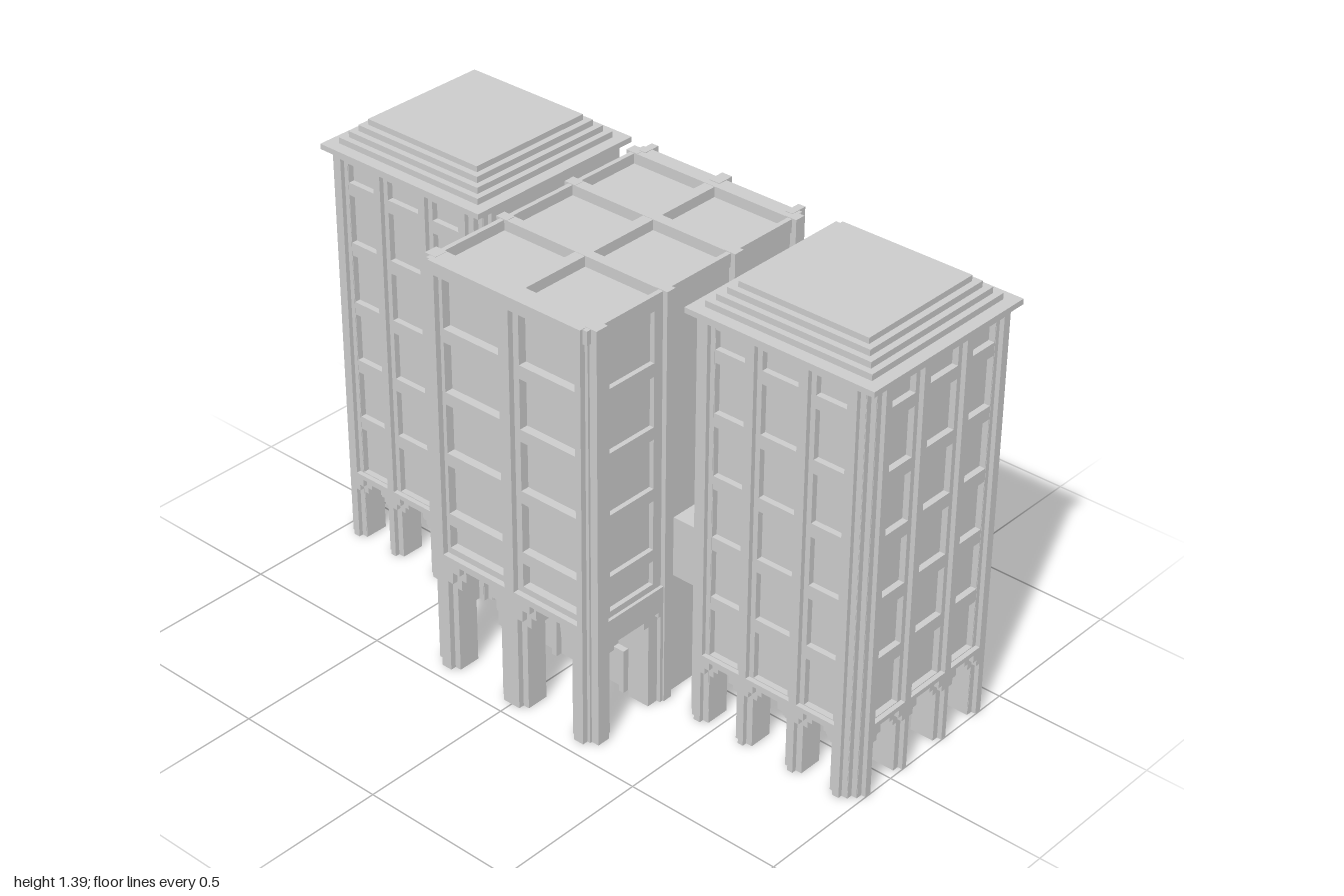
import * as THREE from 'three';

const mat = new THREE.MeshStandardMaterial({ color: 0xcccccc });

function add(parent, name, geometry) {
  const mesh = new THREE.Mesh(geometry, mat);
  mesh.name = name;
  parent.add(mesh);
  return mesh;
}

// Box given by its limits on each axis
function box(parent, name, x0, x1, y0, y1, z0, z1) {
  const mesh = add(parent, name, new THREE.BoxGeometry(x1 - x0, y1 - y0, z1 - z0));
  mesh.position.set((x0 + x1) / 2, (y0 + y1) / 2, (z0 + z1) / 2);
  return mesh;
}

// Stepped arch around centre c: steps run from the springing up as [halfWidth, y]
function archPoints(c, steps) {
  const left = [[c - steps[0][0], 0]];
  steps.forEach(([w, y], i) => {
    left.push([c - w, y]);
    if (i < steps.length - 1) left.push([c - steps[i + 1][0], y]);
  });
  return [...left, ...left.slice().reverse().map(([x, y]) => [2 * c - x, y])];
}

// Upright wall layer from z0 to z1 with ground arches and rectangular holes [x0, x1, y0, y1]
function plate(parent, name, x0, x1, top, z0, z1, arches = [], holes = [], bottom = 0) {
  const pts = [[x0, bottom], ...arches.flat(), [x1, bottom], [x1, top], [x0, top]];
  const shape = new THREE.Shape(pts.map(([x, y]) => new THREE.Vector2(x, y)));
  for (const [a, b, c, d] of holes) {
    shape.holes.push(new THREE.Path(
      [[a, c], [a, d], [b, d], [b, c]].map(([x, y]) => new THREE.Vector2(x, y))));
  }
  const geo = new THREE.ExtrudeGeometry(shape, { depth: z1 - z0, bevelEnabled: false });
  const mesh = add(parent, name, geo);
  mesh.position.z = z0;
  return mesh;
}

// Every combination of column spans and row spans
const grid = (cols, rows) => cols.flatMap(c => rows.map(r => [...c, ...r]));

function createTower(inner) {
  const tower = new THREE.Group();
  tower.name = 'sideTower';
  const bays = [[-0.168, 0.05], [0, 0.06], [0.168, 0.05]];
  const innerArches = bays.map(([c, w]) =>
    archPoints(c, [[w, 0.165], [w - 0.015, 0.185], [w - 0.03, 0.2]]));
  const outerArches = bays.map(([c, w]) =>
    archPoints(c, [[w + 0.02, 0.175], [w + 0.005, 0.195], [w - 0.01, 0.22]]));
  const rows = [0, 1, 2, 3, 4].map(i => [0.237 + i * 0.197, 0.392 + i * 0.197]);
  rows.push([1.22, 1.28]);
  const windows = grid(bays.map(([c, w]) => [c - w, c + w]), rows);
  const recesses = bays.map(([c, w]) => [c - w - 0.016, c + w + 0.016, 0.2345, 1.295]);

  // Four facades of three layers, whose narrowing widths step the corners
  for (let i = 0; i < 4; i++) {
    const face = new THREE.Group();
    face.name = 'towerFacade';
    face.rotation.y = i * Math.PI / 2;
    const plain = (i === 1 && inner > 0) || (i === 3 && inner < 0);
    plate(face, 'wallBack', -0.298, 0.298, 1.305, 0.22, 0.278, innerArches);
    plate(face, 'windowLayer', -0.28, 0.28, 1.305, 0.278, 0.297, innerArches, plain ? [] : windows);
    plate(face, 'pierLayer', -0.26, 0.26, 1.305, 0.297, 0.312, outerArches, plain ? [] : recesses);
    tower.add(face);
  }

  // Arcades inside the open ground floor
  for (const turn of [0, Math.PI / 2]) {
    for (const z of [-0.09, 0.09]) {
      const arcade = new THREE.Group();
      arcade.name = 'innerArcade';
      arcade.rotation.y = turn;
      plate(arcade, 'arcadeWall', -0.25, 0.25, 0.25, z - 0.026, z + 0.026, innerArches);
      tower.add(arcade);
    }
  }
  box(tower, 'towerCore', -0.25, 0.25, 0.235, 1.305, -0.25, 0.25);

  // Eave and stepped roof
  [[0.313, 1.3, 1.317], [0.275, 1.317, 1.336], [0.255, 1.336, 1.355],
    [0.235, 1.355, 1.374], [0.215, 1.374, 1.392]].forEach(([h, y0, y1], i) =>
    box(tower, i ? 'roofStep' : 'eave', -h, h, y0, y1, -h, h));
  return tower;
}

function createCentre() {
  const centre = new THREE.Group();
  centre.name = 'centralBlock';
  const rows = [[0.415, 0.492], [0.53, 0.69], [0.73, 0.888], [0.927, 1.085], [1.127, 1.285]];
  const cols = [[-0.243, -0.038], [0.038, 0.243]];
  const recessCols = [[-0.255, -0.018], [0.018, 0.255]];

  // Core standing on the ground, with the upper part reaching over the porch
  box(centre, 'lowerCore', -0.28, 0.28, 0, 0.39, -0.395, 0.185);
  box(centre, 'upperCore', -0.28, 0.28, 0.39, 1.3, -0.395, 0.38);

  // Front facade over two stepped arches
  const c = 0.135;
  const innerArches = [-c, c].map(x => archPoints(x, [[0.085, 0.285], [0.068, 0.32], [0.05, 0.355]]));
  const outerArches = [-c, c].map(x => archPoints(x, [[0.105, 0.31], [0.085, 0.348], [0.058, 0.375]]));
  plate(centre, 'frontBack', -0.29, 0.29, 1.3, 0.365, 0.41, innerArches);
  plate(centre, 'frontWindowLayer', -0.285, 0.285, 1.3, 0.41, 0.437, innerArches, grid(cols, rows));
  plate(centre, 'frontPierLayer', -0.275, 0.275, 1.335, 0.437, 0.455, outerArches,
    grid(recessCols, [[0.395, 1.295]]));

  // Back facade with windows down to the ground
  const back = new THREE.Group();
  back.name = 'backFacade';
  back.rotation.y = Math.PI;
  const backRows = [[0.03, 0.092], ...[0, 1, 2, 3, 4, 5].map(i => [0.13 + i * 0.199, 0.288 + i * 0.199])];
  plate(back, 'backWindowLayer', -0.28, 0.28, 1.3, 0.39, 0.42, [], grid(cols, backRows));
  for (const x of [-0.268, 0, 0.268]) {
    const w = x ? 0.012 : 0.018;
    box(back, 'backPier', x - w, x + w, 0, 1.335, 0.39, 0.445);
  }
  centre.add(back);

  // Side walls: windowed bay and porch opening at the front, plain behind
  for (const s of [-1, 1]) {
    const side = new THREE.Group();
    side.name = 'sideWall';
    side.rotation.y = s * Math.PI / 2;
    const X = z => -s * z;
    const span = (a, b) => [Math.min(X(a), X(b)), Math.max(X(a), X(b))];
    const porch = [archPoints(X(0.285), [[0.08, 0.275], [0.062, 0.298]])];
    plate(side, 'porchSide', ...span(0.14, 0.42), 0.395, 0.22, 0.293, porch);
    plate(side, 'sideWindowLayer', ...span(0.14, 0.42), 1.3, 0.275, 0.295, [],
      grid([span(0.19, 0.365)], rows), 0.39);
    box(side, 'plainSide', ...span(-0.4, 0.14), 0, 1.3, 0.275, 0.29);
    for (const [a, b] of [[-0.405, -0.37], [-0.15, -0.115], [0.125, 0.157], [0.387, 0.43]]) {
      box(side, 'buttress', ...span(a, b), 0, 1.334, 0.27, 0.31);
    }
    plate(side, 'sideBand', ...span(0.15, 0.4), 0.395, 0.293, 0.305,
      [archPoints(X(0.277), [[0.109, 0.298], [0.1, 0.315]])]);
    centre.add(side);
  }

  // Roof ribs framing sunken panels
  for (const [a, b] of [[-0.42, -0.37], [-0.15, -0.115], [0.125, 0.157], [0.387, 0.445]]) {
    box(centre, 'roofCrossRib', -0.29, 0.29, 1.29, 1.333, a, b);
  }
  for (const [a, b] of [[-0.295, -0.28], [-0.018, 0.018], [0.28, 0.295]]) {
    box(centre, 'roofLongRib', a, b, 1.29, 1.332, -0.41, 0.42);
  }

  // Door surrounds inside the porch
  for (const x of [-0.13, 0.13]) {
    plate(centre, 'doorSurround', x - 0.07, x + 0.07, 0.145, 0.18, 0.205,
      [archPoints(x, [[0.052, 0.125]])]);
    box(centre, 'doorCrown', x - 0.032, x + 0.032, 0.145, 0.178, 0.18, 0.205);
  }
  return centre;
}

export function createModel() {
  const model = new THREE.Group();
  model.name = 'buildingComplex';
  model.add(createCentre());
  for (const s of [-1, 1]) {
    const tower = createTower(-s);
    tower.position.set(s * 0.687, 0, -0.15);
    model.add(tower);
    // Link to the central block
    const [a, b] = s > 0 ? [0.28, 0.385] : [-0.385, -0.28];
    box(model, 'bridge', a, b, 0.397, 0.59, -0.095, 0.1);
  }
  return model;
}
